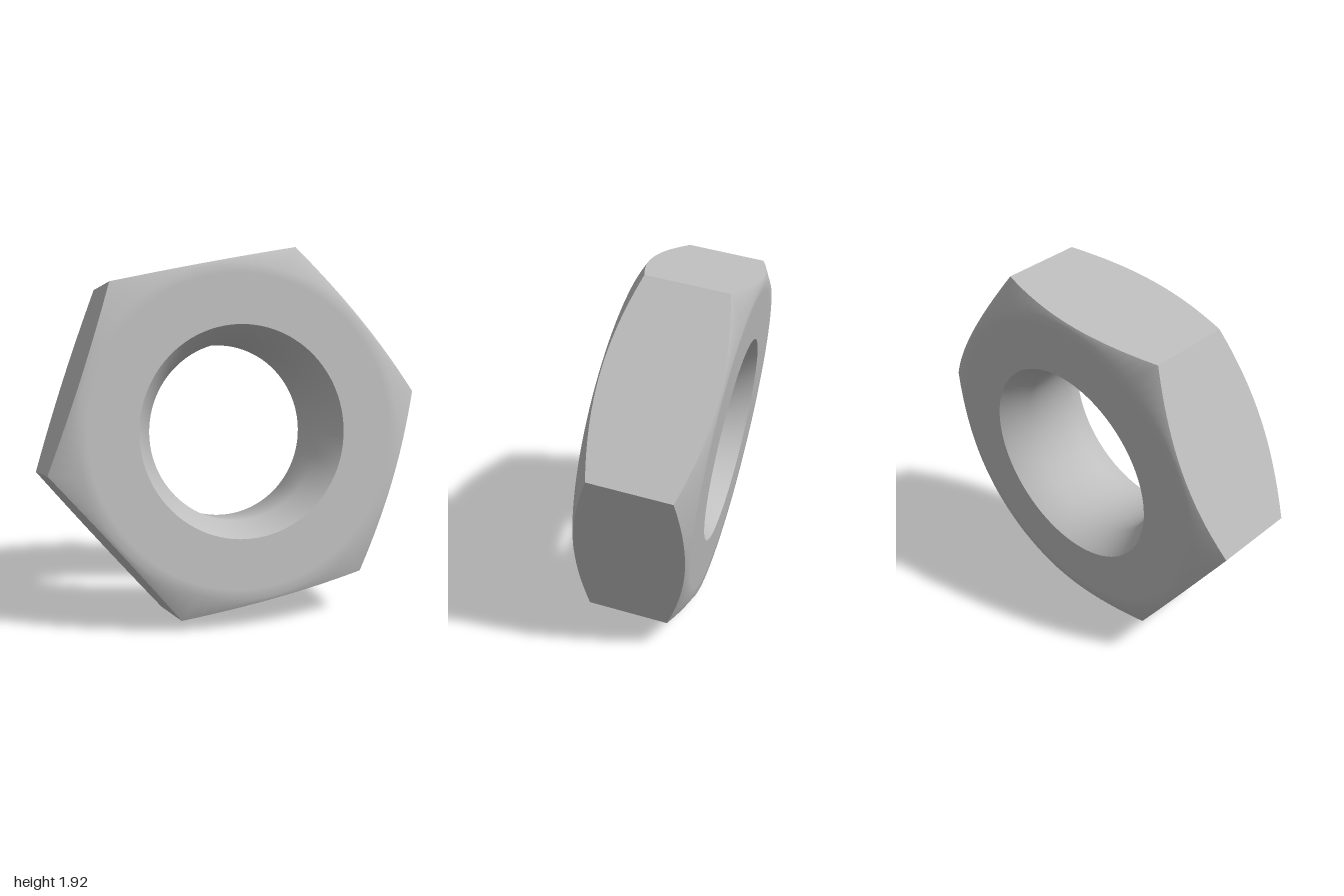
import * as THREE from 'three';
import { toCreasedNormals } from 'three/addons/utils/BufferGeometryUtils.js';

const CORNER = 1.003;                              // radius at the hexagon corners
const APOTHEM = CORNER * Math.cos(Math.PI / 6);
const HALF = 0.29;                                 // half thickness
const FACE = 0.85;                                 // radius of the flat faces
const RIM = 0.543;                                 // outer radius of the hole's bevel
const BORE = 0.46;
const BORE_HALF = 0.15;
const SEGMENTS = 96;

// Closed cross-section [radius, height] at one angle; a corner lies at angle 0
function section(angle) {
  const turn = (angle % (Math.PI / 3)) - Math.PI / 6;
  const side = APOTHEM / Math.cos(turn);
  const sideHalf = HALF - (side - FACE) * 0.543;   // conical corner chamfer
  const front = [[side, sideHalf], [FACE, HALF], [0.8, HALF], [RIM, HALF], [BORE, BORE_HALF]];
  const back = front.map(([r, h]) => [r, -h]).reverse();
  return [...front, ...back];
}

// Sweep the cross-section around the axis, following the hexagon
function nutGeometry() {
  const positions = [];
  const indices = [];
  const count = section(0).length;
  for (let i = 0; i < SEGMENTS; i++) {
    const step = i % (SEGMENTS / 6);
    const angle = (i / SEGMENTS) * Math.PI * 2;
    for (const [r, h] of section((step / SEGMENTS) * Math.PI * 2)) {
      positions.push(r * Math.cos(angle), r * Math.sin(angle), h);
    }
    const next = (i + 1) % SEGMENTS;
    for (let j = 0; j < count; j++) {
      const k = (j + 1) % count;
      const a = i * count + j, b = next * count + j;
      const c = next * count + k, d = i * count + k;
      indices.push(a, b, c, a, c, d);
    }
  }
  const geometry = new THREE.BufferGeometry();
  geometry.setAttribute('position', new THREE.Float32BufferAttribute(positions, 3));
  geometry.setIndex(indices);
  return toCreasedNormals(geometry, 0.6);
}

export function createModel() {
  const group = new THREE.Group();
  group.name = 'hexNutModel';

  const steel = new THREE.MeshStandardMaterial({ color: 0xbfbfbf });
  steel.name = 'steel grey';

  const nut = new THREE.Mesh(nutGeometry(), steel);
  nut.name = 'hexNut';

  // Lean the nut: hole axis, and the direction of one corner
  const axis = new THREE.Vector3(0.06, 0.137, 0.989).normalize();
  const corner = new THREE.Vector3(0.985, 0.167, -0.085);
  const up = new THREE.Vector3().crossVectors(axis, corner).normalize();
  corner.crossVectors(up, axis);
  nut.quaternion.setFromRotationMatrix(new THREE.Matrix4().makeBasis(corner, up, axis));
  nut.position.y = 0.963;

  group.add(nut);
  return group;
}
